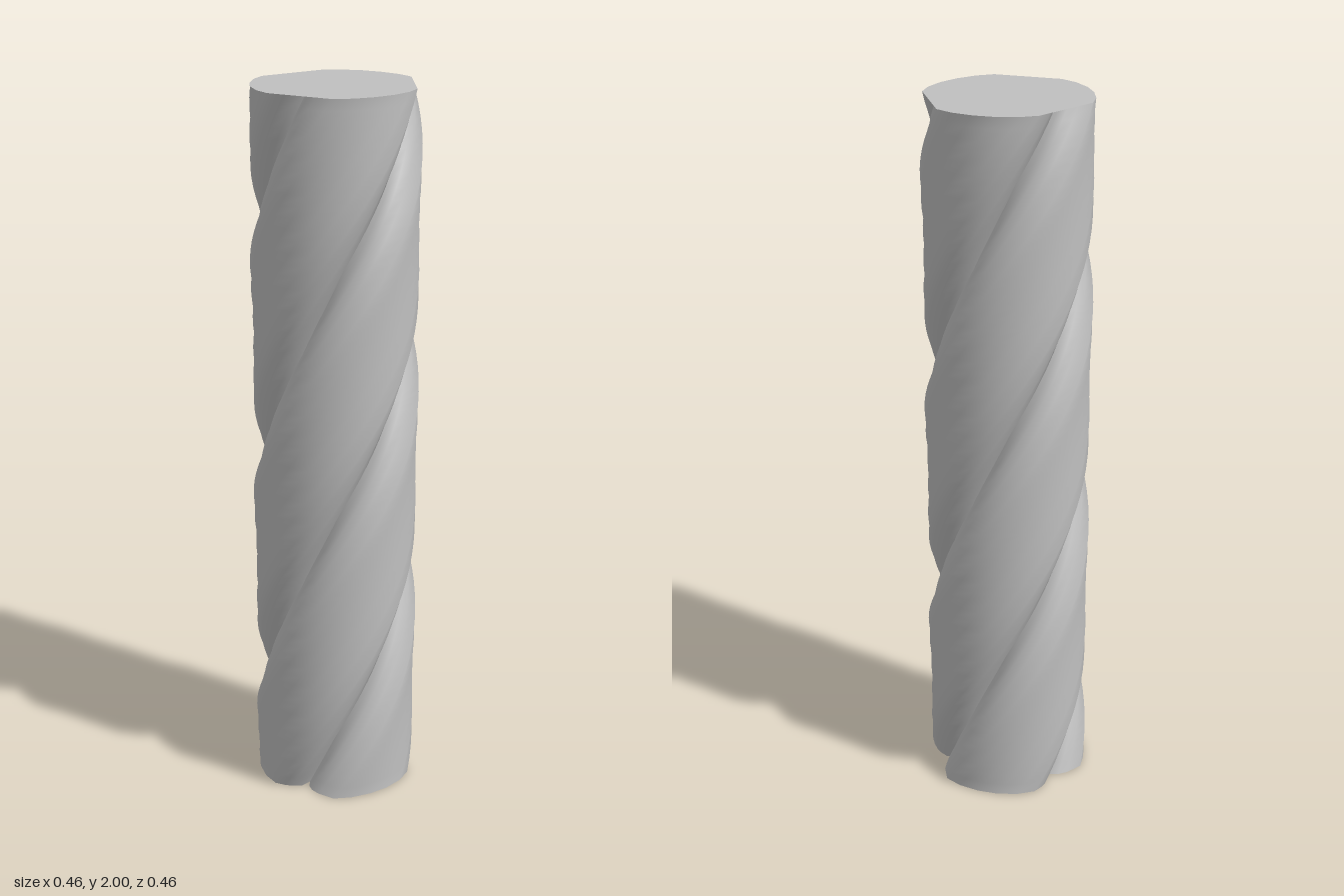
import * as THREE from 'three';

const HEIGHT = 2;
const STRANDS = 3;
const ROWS = 64;
const TWIST = Math.PI * 2; // one full turn from bottom to top

// Cross-section of one strand between two grooves: [degrees, radius]
const SECTION = [
  [0, 0.155], [3.5, 0.178], [8, 0.194], [15, 0.209], [27, 0.23], [40, 0.228],
  [55, 0.225], [70, 0.225], [85, 0.226], [98, 0.225], [105, 0.213],
  [110, 0.203], [117, 0.185], [120, 0.155],
];

const onCircle = (angle, r) => [r * Math.sin(angle), r * Math.cos(angle)];

// Twisted wall of one strand, open at both ends
function strandGeometry(start) {
  const positions = [];
  const indices = [];
  const n = SECTION.length;
  for (let j = 0; j <= ROWS; j++) {
    const t = j / ROWS;
    for (const [deg, r] of SECTION) {
      const [x, z] = onCircle(start + t * TWIST + THREE.MathUtils.degToRad(deg), r);
      positions.push(x, t * HEIGHT, z);
    }
  }
  for (let j = 0; j < ROWS; j++) {
    for (let i = 0; i < n - 1; i++) {
      const a = j * n + i;
      const b = a + 1;
      const c = a + n;
      const d = c + 1;
      indices.push(a, b, d, a, d, c);
    }
  }
  const geometry = new THREE.BufferGeometry();
  geometry.setAttribute('position', new THREE.Float32BufferAttribute(positions, 3));
  geometry.setIndex(indices);
  geometry.computeVertexNormals();
  return geometry;
}

// Flat lid that bridges the grooves with straight edges
function capGeometry() {
  const points = [];
  for (let s = 0; s < STRANDS; s++) {
    for (const [deg, r] of SECTION) {
      if (deg < 27 || deg > 98) continue;
      const [x, z] = onCircle(THREE.MathUtils.degToRad(deg + s * 120), r);
      points.push(new THREE.Vector2(x, -z));
    }
  }
  return new THREE.ShapeGeometry(new THREE.Shape(points)).rotateX(-Math.PI / 2);
}

export function createModel() {
  const group = new THREE.Group();
  group.name = 'twistedColumn';
  const grey = new THREE.MeshStandardMaterial({ color: 0xc0c0c0 });
  grey.name = 'light grey';
  grey.side = THREE.DoubleSide;

  for (let s = 0; s < STRANDS; s++) {
    const strand = new THREE.Mesh(strandGeometry((s * Math.PI * 2) / STRANDS), grey);
    strand.name = `strand${s + 1}`;
    group.add(strand);
  }

  const cap = new THREE.Mesh(capGeometry(), grey);
  cap.name = 'topCap';
  cap.position.y = HEIGHT;
  group.add(cap);
  return group;
}
